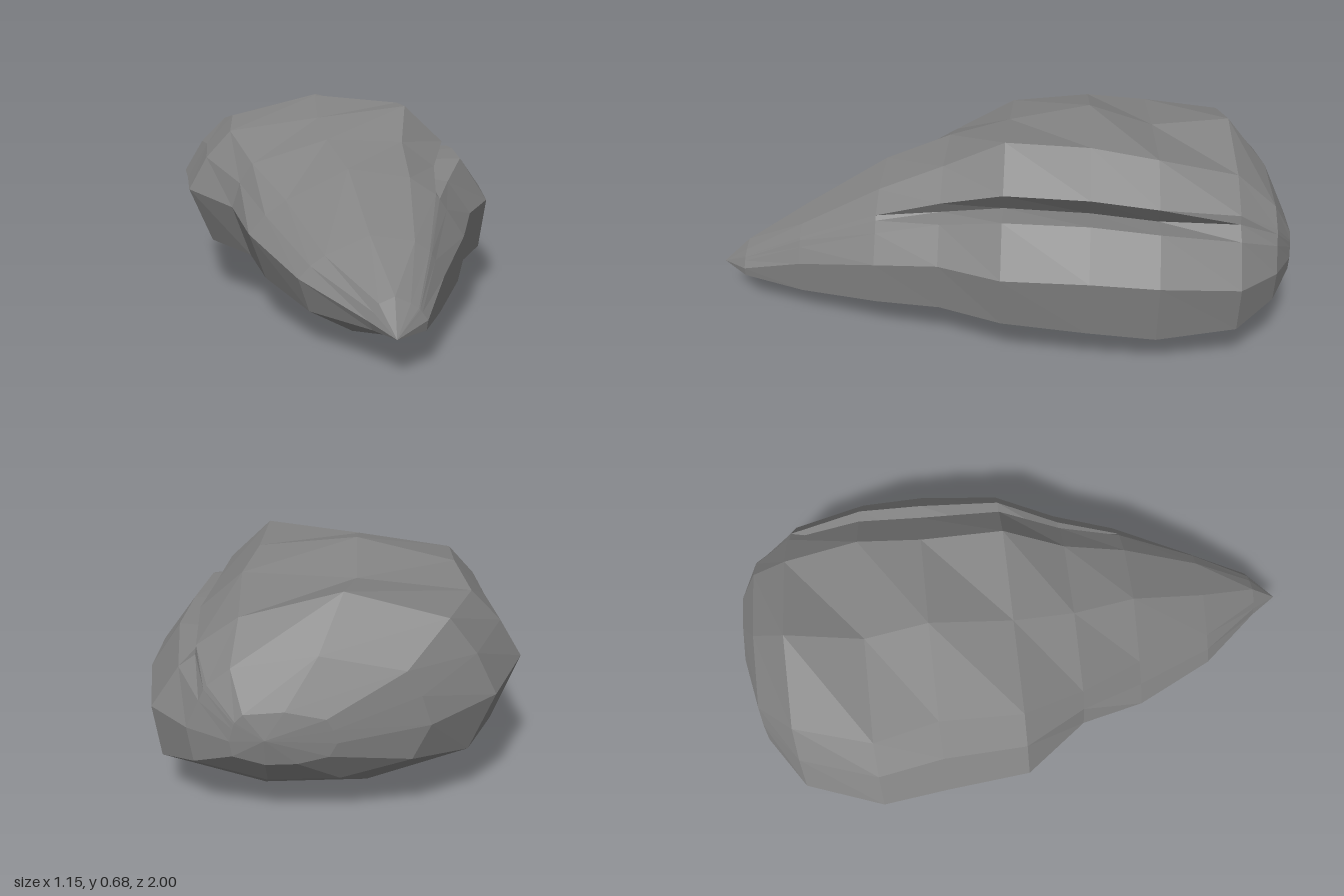
import * as THREE from 'three';

// Control rows from nose to back:
// z, left edge x y, right edge x y, floor y, top-left x y, top-right x y, crest y, crevice depth
const STATIONS = [
  [0.9, 0.03, 0.13, 0.2, 0.13, 0.085, 0.06, 0.18, 0.15, 0.18, 0.2, 0],
  [0.68, -0.16, 0.2, 0.28, 0.2, 0.03, -0.08, 0.27, 0.19, 0.31, 0.33, 0],
  [0.4, -0.31, 0.28, 0.39, 0.265, 0.035, -0.19, 0.39, 0.21, 0.46, 0.49, 0],
  [0.18, -0.37, 0.33, 0.45, 0.3, 0.045, -0.3, 0.48, 0.21, 0.55, 0.56, 0.5],
  [-0.03, -0.53, 0.36, 0.55, 0.31, 0.045, -0.38, 0.57, 0.245, 0.655, 0.615, 0.9],
  [-0.31, -0.555, 0.36, 0.575, 0.32, 0.02, -0.38, 0.6, 0.25, 0.645, 0.675, 1],
  [-0.53, -0.58, 0.36, 0.575, 0.31, 0, -0.42, 0.57, 0.28, 0.62, 0.605, 0.9],
  [-0.79, -0.48, 0.34, 0.525, 0.285, 0.045, -0.34, 0.57, 0.26, 0.565, 0.645, 0.2],
  [-0.92, -0.29, 0.3, 0.4, 0.28, 0.12, -0.22, 0.46, 0.27, 0.46, 0.5, 0],
  [-0.985, -0.03, 0.27, 0.27, 0.27, 0.2, 0, 0.34, 0.23, 0.35, 0.36, 0],
];
const NOSE = [0.1, 0.105, 1];
const BACK = [0.17, 0.28, -1];

const mix = (a, b, t) => a + (b - a) * t;

// One closed cross-section, counter-clockwise seen from the front
function section([z, lx, ly, rx, ry, floor, tlx, tly, trx, tryy, crest, g]) {
  const w = rx - lx;
  const swell = 0.025 * w * (1 - g);
  const slope = (t, dx, dy) => [mix(rx, trx, t) + dx, mix(ry, tryy, t) + dy];
  return [
    [lx + 0.075 * w, mix(floor, ly, 0.41)], // left underside
    [lx + 0.37 * w, floor + 0.015 * w],
    [lx + 0.67 * w, floor],
    [rx - 0.025 * w, mix(floor, ry, 0.35)], // right underside
    [rx, ry],
    slope(0.4, 0.02 * w, 0.015 * w), // shoulder
    slope(0.55, swell - 0.055 * g, swell - 0.045 * g), // crevice floor
    slope(0.62, swell + 0.02 * g, swell), // overhanging lip
    [trx, tryy],
    [mix(tlx, trx, 0.5), crest],
    [tlx, tly],
    [mix(lx, tlx, 0.5) - 0.01 * w, mix(ly, tly, 0.5) + 0.01 * w], // left flank
    [lx, ly],
  ].map(([x, y]) => [x, y, z]);
}

// Skin the rings and close both ends to a point
function loft(rings, first, last) {
  const n = rings[0].length;
  const points = [...rings.flat(), first, last];
  const tip = points.length - 2, end = points.length - 1;
  const index = [];
  const lastRow = (rings.length - 1) * n;
  for (let j = 0; j < n; j++) {
    const k = (j + 1) % n;
    index.push(tip, j, k);
    for (let row = 0; row < lastRow; row += n) {
      const a = row + j, b = row + k;
      index.push(a, a + n, b, b, a + n, b + n);
    }
    index.push(lastRow + j, end, lastRow + k);
  }
  const geometry = new THREE.BufferGeometry();
  geometry.setAttribute('position', new THREE.Float32BufferAttribute(points.flat(), 3));
  geometry.setIndex(index);
  const faceted = geometry.toNonIndexed();
  faceted.computeVertexNormals();
  return faceted;
}

export function createModel() {
  const group = new THREE.Group();
  group.name = 'rock';
  const stone = new THREE.MeshStandardMaterial({ color: 0x828282, flatShading: true });
  const boulder = new THREE.Mesh(loft(STATIONS.map(section), NOSE, BACK), stone);
  boulder.name = 'boulder';
  group.add(boulder);
  return group;
}
